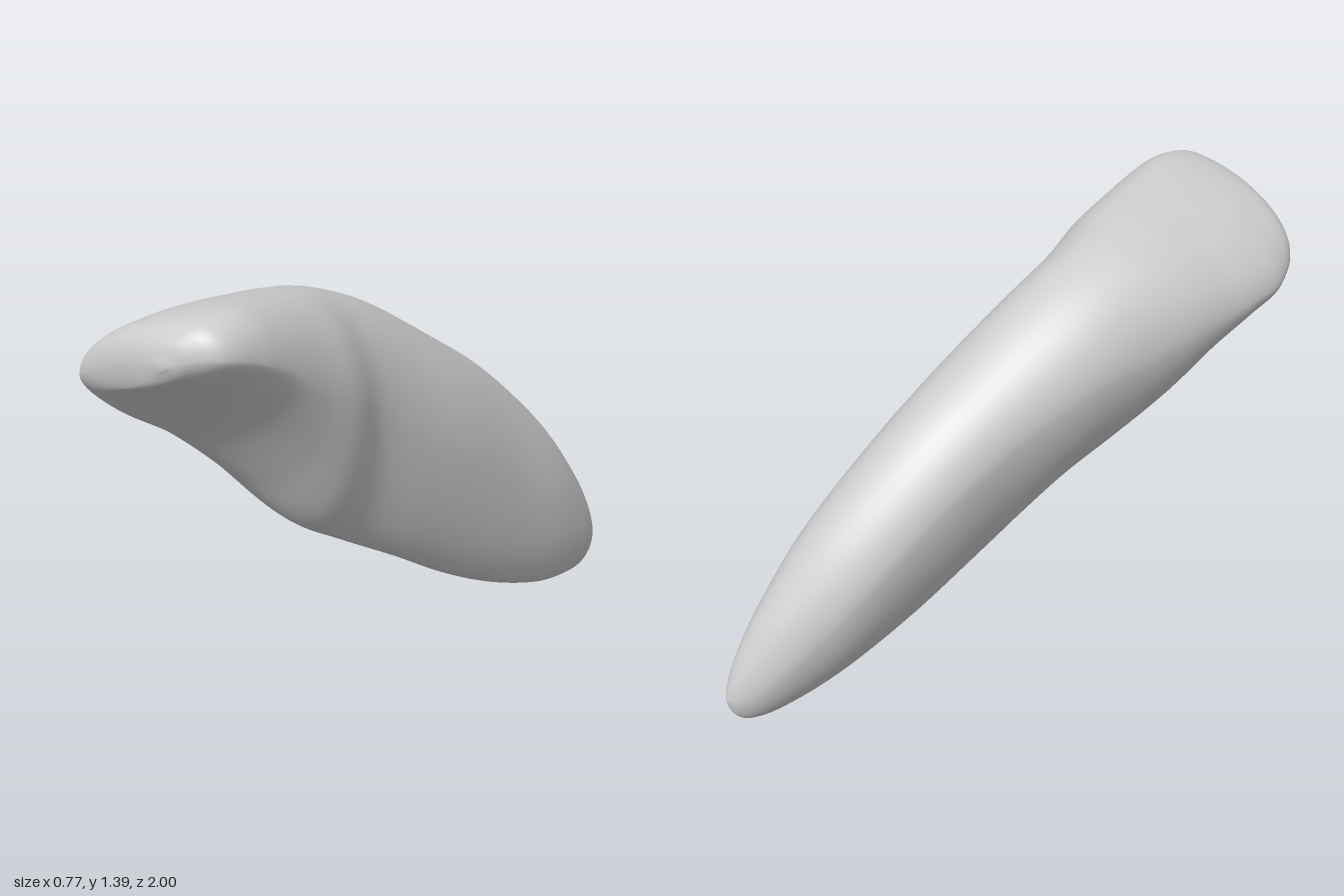
import * as THREE from 'three';

// Cross-sections from biting edge to root tip:
// z, xMin, xMax, yMin, yMax, y of left side, x of top, y of right side, x of bottom
const SECTIONS = [
  [1.0, 0.0, 0.03, 1.26, 1.28, 1.27, 0.015, 1.27, 0.015],
  [0.98, -0.15, 0.1, 1.195, 1.335, 1.24, 0.05, 1.29, -0.08],
  [0.93, -0.325, 0.17, 1.13, 1.375, 1.17, 0.08, 1.29, -0.24],
  [0.82, -0.385, 0.207, 1.03, 1.39, 1.11, 0.09, 1.26, -0.24],
  [0.7, -0.38, 0.225, 0.94, 1.38, 1.09, 0.07, 1.2, -0.16],
  [0.58, -0.357, 0.238, 0.805, 1.362, 1.07, 0.05, 1.12, -0.06],
  [0.45, -0.33, 0.25, 0.635, 1.34, 1.05, 0.02, 1.04, 0.02],
  [0.3, -0.29, 0.236, 0.535, 1.305, 1.02, -0.01, 0.95, 0.07],
  [0.1, -0.235, 0.262, 0.415, 1.225, 0.98, 0.01, 0.8, 0.145],
  [-0.15, -0.15, 0.303, 0.26, 1.075, 0.87, 0.055, 0.68, 0.185],
  [-0.4, -0.075, 0.34, 0.13, 0.91, 0.72, 0.11, 0.49, 0.225],
  [-0.65, 0.025, 0.376, 0.035, 0.68, 0.5, 0.185, 0.33, 0.27],
  [-0.83, 0.14, 0.38, 0.002, 0.455, 0.3, 0.25, 0.2, 0.295],
  [-0.93, 0.22, 0.367, 0.008, 0.295, 0.18, 0.29, 0.14, 0.312],
  [-0.98, 0.275, 0.35, 0.05, 0.19, 0.13, 0.305, 0.11, 0.315],
  [-1.0, 0.315, 0.325, 0.11, 0.125, 0.117, 0.32, 0.117, 0.32],
];

// Point on a rounded outline through its four outermost points
function outlinePoint(angle, low, high, upper, lower) {
  const c = Math.cos(angle);
  const s = Math.sin(angle);
  const right = c >= 0;
  const top = s >= 0;
  // Flatter quarters: upper left and lower right on the crown, lower left on the root
  const crown = THREE.MathUtils.smoothstep(low.z, 0.4, 0.85);
  let power = 1;
  if (top && !right) power = 1 + 0.15 * crown;
  if (!top) power = right ? 1 + 0.3 * crown : 1.22 - 0.2 * crown;
  const x0 = top ? upper.x : lower.x;
  const y0 = right ? upper.y : lower.y;
  return [
    x0 + ((right ? high.x : low.x) - x0) * Math.abs(c) ** power,
    y0 + ((top ? high.y : low.y) - y0) * Math.abs(s) ** power,
    low.z,
  ];
}

function loft(rings, sides) {
  const curve = (i, j) =>
    new THREE.CatmullRomCurve3(
      SECTIONS.map((s) => new THREE.Vector3(s[i], s[j], s[0])), false, 'catmullrom', 0.5);
  const curves = [curve(1, 3), curve(2, 4), curve(6, 7), curve(8, 5)];
  const positions = [];
  const indices = [];

  for (let i = 0; i <= rings; i++) {
    const guides = curves.map((g) => g.getPoint(i / rings));
    for (let j = 0; j < sides; j++) {
      positions.push(...outlinePoint((j / sides) * Math.PI * 2, ...guides));
      if (i < rings) {
        const p = i * sides + j;
        const q = i * sides + ((j + 1) % sides);
        indices.push(p, p + sides, q, q, p + sides, q + sides);
      }
    }
  }

  // Close both ends with a fan
  const last = rings * sides;
  const centre = positions.length / 3;
  for (const t of [0, 1]) {
    const m = curves[0].getPoint(t).add(curves[1].getPoint(t)).multiplyScalar(0.5);
    positions.push(m.x, m.y, m.z);
  }
  for (let j = 0; j < sides; j++) {
    const k = (j + 1) % sides;
    indices.push(centre, j, k, centre + 1, last + k, last + j);
  }

  const geometry = new THREE.BufferGeometry();
  geometry.setAttribute('position', new THREE.Float32BufferAttribute(positions, 3));
  geometry.setIndex(indices);
  geometry.computeVertexNormals();
  return geometry;
}

export function createModel() {
  const group = new THREE.Group();
  group.name = 'tooth';
  const enamel = new THREE.MeshStandardMaterial({ color: 0xcccccc });
  enamel.name = 'pale grey';

  // Broad flattened crown running into a long tapering root
  const tooth = new THREE.Mesh(loft(120, 80), enamel);
  tooth.name = 'crownAndRoot';
  group.add(tooth);
  return group;
}
